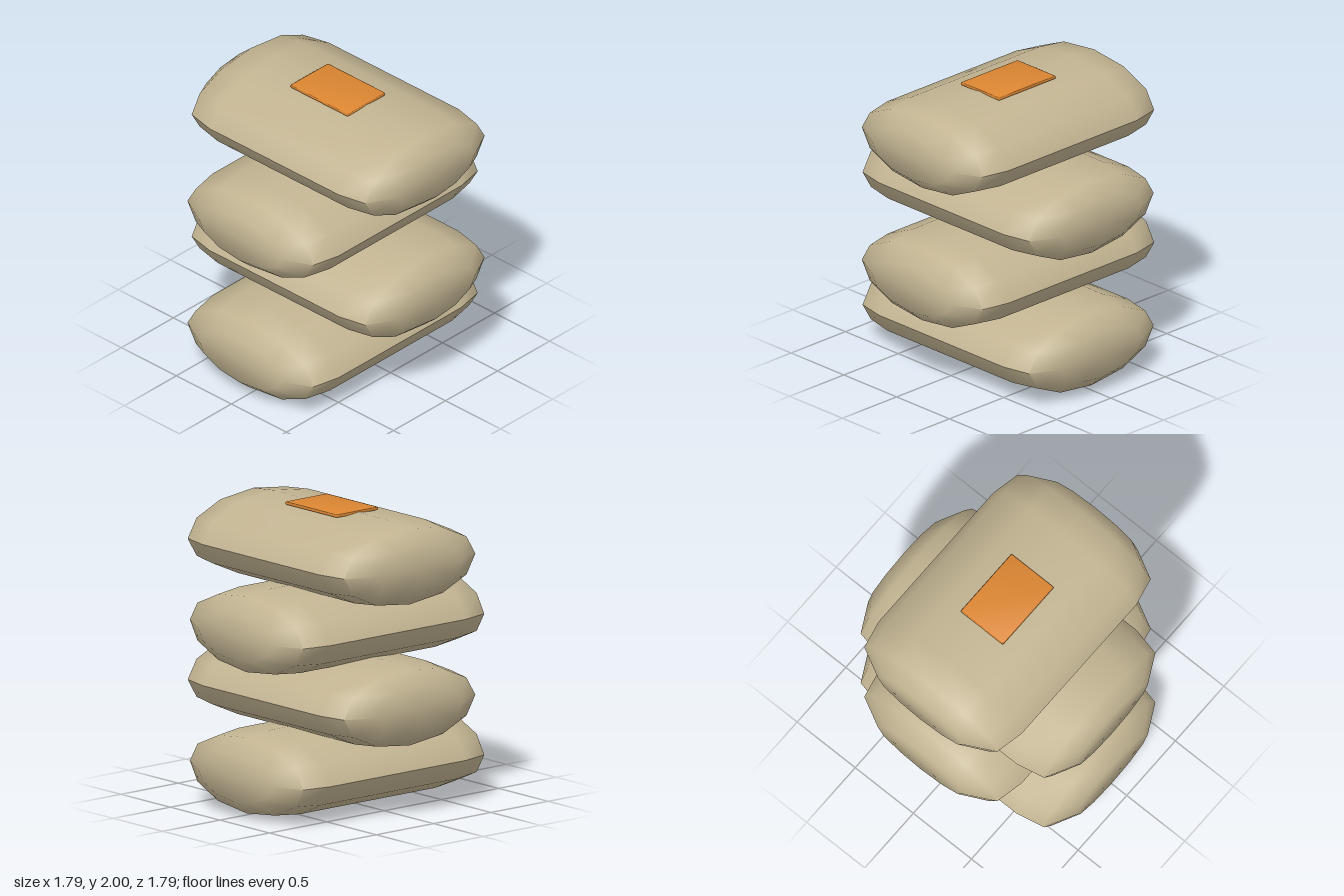
import * as THREE from 'three';
import { toCreasedNormals } from 'three/addons/utils/BufferGeometryUtils.js';
import { RoundedBoxGeometry } from 'three/addons/geometries/RoundedBoxGeometry.js';

const sand = new THREE.MeshStandardMaterial({ color: 0xc2b492 });
sand.name = 'sand canvas';
const orange = new THREE.MeshStandardMaterial({ color: 0xdc8632 });
orange.name = 'orange label';

// Stuffed bag: a twelve-sided flattened pillow lying along z, slightly off-centre
function bagGeometry() {
  const half = [[0, 0.895], [0.6, 0.895], [0.93, 0.79], [1, 0.59]];
  const profile = [
    ...half.map(([r, l]) => new THREE.Vector2(r, -l)),
    ...half.reverse().map(([r, l]) => new THREE.Vector2(r, l)),
  ];
  const geometry = new THREE.LatheGeometry(profile, 12);
  geometry.scale(0.615, 1, 0.276);
  geometry.rotateX(Math.PI / 2);
  geometry.translate(0.026, 0, 0);
  // Smooth everywhere except along the two sharp side seams
  return toCreasedNormals(geometry, Math.PI / 3);
}

export function createModel() {
  const group = new THREE.Group();
  group.name = 'bagStack';

  // Four bags, each layer turned a quarter
  const geometry = bagGeometry();
  for (let i = 0; i < 4; i++) {
    const bag = new THREE.Mesh(geometry, sand);
    bag.name = `bag${i + 1}`;
    bag.position.y = 0.281 + i * 0.478;
    if (i % 2 === 0) bag.rotation.y = Math.PI / 2;
    group.add(bag);
  }

  // Thin label resting on the top bag
  const labelGeometry = new RoundedBoxGeometry(0.365, 0.022, 0.525, 1, 0.008);
  const label = new THREE.Mesh(toCreasedNormals(labelGeometry, 1.4), orange);
  label.name = 'label';
  label.position.set(0.026, 1.989, -0.003);
  group.add(label);

  return group;
}
